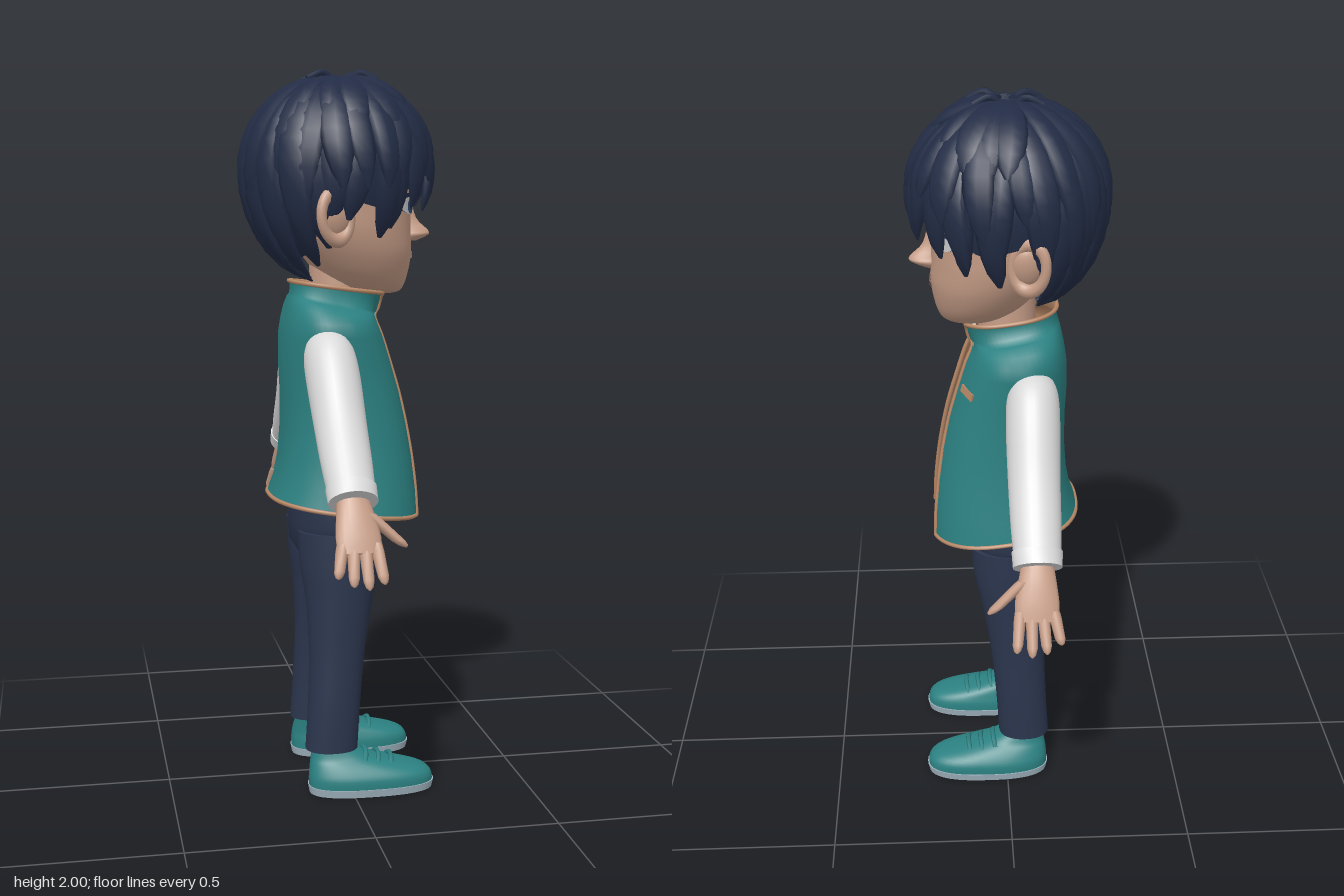
import * as THREE from 'three';

const mat = (name, color) => {
  const m = new THREE.MeshStandardMaterial({ color, side: THREE.DoubleSide });
  m.name = name;
  return m;
};
const V = (x, y, z) => new THREE.Vector3(x, y, z);
const { lerp, degToRad: rad } = THREE.MathUtils;

// Skin over a list of point rings, always wound outward (or inward for linings)
function loft(rings, { closed = true, caps = closed, inside = false } = {}) {
  const n = rings[0].length, pts = rings.flat().map(p => p.clone()), idx = [];
  for (let i = 0; i < rings.length - 1; i++)
    for (let j = 0; j < (closed ? n : n - 1); j++) {
      const a = i * n + j, b = i * n + (j + 1) % n;
      idx.push(a, b, a + n, b, b + n, a + n);
    }
  if (caps) [0, rings.length - 1].forEach(r => {
    const base = pts.length, c = V(0, 0, 0);
    rings[r].forEach(p => { pts.push(p.clone()); c.addScaledVector(p, 1 / n); });
    pts.push(c);
    for (let j = 0; j < n; j++) {
      const a = base + j, b = base + (j + 1) % n;
      r ? idx.push(a, b, base + n) : idx.push(b, a, base + n);
    }
  });
  const mid = V(0, 0, 0);
  pts.forEach(p => mid.addScaledVector(p, 1 / pts.length));
  let vol = 0;
  for (let i = 0; i < idx.length; i += 3) {
    const [a, b, c] = [0, 1, 2].map(k => pts[idx[i + k]].clone().sub(mid));
    vol += a.dot(b.cross(c));
  }
  if ((vol < 0) !== inside) idx.reverse();
  const g = new THREE.BufferGeometry().setFromPoints(pts);
  g.setIndex(idx);
  g.computeVertexNormals();
  return g;
}

// Smooth rows of numbers with a spline
function dense(rows, k = 4) {
  const out = [], at = i => rows[Math.max(0, Math.min(rows.length - 1, i))];
  for (let i = 0; i < rows.length - 1; i++)
    for (let s = 0; s < k; s++) {
      const t = s / k;
      out.push(rows[i].map((b, c) => {
        const a = at(i - 1)[c], d = at(i + 1)[c], e = at(i + 2)[c];
        return b + 0.5 * t * (d - a + t * (2 * a - 5 * b + 4 * d - e + t * (3 * (b - d) + e - a)));
      }));
    }
  return [...out, at(rows.length - 1)];
}

// Level superellipse ring from a row [y, halfWidth, zFront, zBack, centreX]; gap opens the front
function ring([y, hw, zf, zb, cx = 0], { p = 2, n = 40, gap = 0, tilt = 0, s = 1 } = {}) {
  const a0 = gap ? Math.asin(Math.pow(gap / hw, p / 2)) : 0, pw = v => Math.sign(v) * Math.abs(v) ** (2 / p);
  return Array.from({ length: n }, (_, i) => {
    const a = gap ? lerp(a0, 2 * Math.PI - a0, i / (n - 1)) : i / n * 2 * Math.PI;
    const z = (zf + zb) / 2 + (zf - zb) / 2 * pw(Math.cos(a));
    return V(s * (cx + hw * pw(Math.sin(a))), y - tilt * z, z);
  });
}
const stack = (rows, o) => loft(rows.map(r => ring(r, o)));

// Limb through points [x, y, z, thickness, halfWidthZ]
function limb(pts, s = 1, n = 18) {
  return loft(pts.map((q, i) => {
    const a = pts[Math.max(0, i - 1)], b = pts[Math.min(pts.length - 1, i + 1)];
    const d = V(b[0] - a[0], b[1] - a[1], 0).normalize();
    return Array.from({ length: n }, (_, j) => {
      const t = j / n * 2 * Math.PI, c = Math.cos(t) * q[3];
      return V(s * (q[0] - d.y * c), q[1] + d.x * c, q[2] + Math.sin(t) * q[4]);
    });
  }));
}

export function createModel() {
  const model = new THREE.Group(), body = new THREE.Group();
  body.name = 'figure';
  body.rotation.y = Math.PI / 2; // figure faces +x
  model.add(body);
  const M = {
    hair: mat('dark navy hair', 0x222c45), pants: mat('navy cloth', 0x2b354d), teal: mat('teal cloth', 0x2c8182),
    trim: mat('tan trim', 0xb98866), shirt: mat('light grey cloth', 0xdadada), skin: mat('skin', 0xc69d87),
    lip: mat('lip', 0xb07c6b), white: mat('eye white', 0xd0d0d2), iris: mat('blue iris', 0x34507a), sole: mat('pale sole', 0x9fb2bd),
  };
  const add = (name, geo, m) => {
    const mesh = new THREE.Mesh(geo, m);
    mesh.name = name;
    body.add(mesh);
    return mesh;
  };
  const ball = (name, m, x, y, z, sx, sy, sz) => {
    const b = add(name, new THREE.SphereGeometry(1, 24, 16), m);
    b.position.set(x, y, z);
    b.scale.set(sx, sy, sz);
    return b;
  };
  const tube = (name, pts, r, m) => add(name, new THREE.TubeGeometry(new THREE.CatmullRomCurve3(pts), pts.length * 3, r, 6), m);

  // Head and neck
  const headRows = dense([[1.392, .045, .15, .05], [1.402, .085, .172, 0], [1.44, .13, .187, -.06], [1.5, .167, .197, -.11],
    [1.56, .187, .195, -.15], [1.62, .195, .195, -.18], [1.7, .2, .2, -.2], [1.8, .185, .185, -.19], [1.88, .12, .12, -.13]]);
  add('head', stack(headRows, { n: 64 }), M.skin);
  add('neck', stack([[1.3, .085, .07, -.09], [1.42, .078, .07, -.085], [1.5, .08, .07, -.09]]), M.skin);
  add('nose', stack(dense([[1.66, .012, .199, .15], [1.6, .015, .216, .15], [1.566, .025, .25, .15], [1.552, .03, .25, .15],
    [1.536, .02, .215, .15]])), M.skin);

  // Thin patches laid on the face
  const faceZ = (x, y) => {
    const i = Math.max(1, headRows.findIndex(r => r[0] >= y)), a = headRows[i - 1], b = headRows[i];
    const [, hw, zf, zb] = a.map((v, c) => lerp(v, b[c], (y - a[0]) / (b[0] - a[0])));
    return (zf + zb) / 2 + (zf - zb) / 2 * Math.sqrt(Math.max(0, 1 - (x / hw) ** 2));
  };
  const patch = (name, m, cx, cy, rx, ry, off, rot = 0) => {
    const g = new THREE.RingGeometry(0.001, 1, 28, 5).scale(rx, ry, 1).rotateZ(rot).translate(cx, cy, 0), p = g.attributes.position;
    for (let i = 0; i < p.count; i++) p.setZ(i, faceZ(p.getX(i), p.getY(i)) + off);
    g.computeVertexNormals();
    add(name, g, m);
  };
  patch('upperLip', M.lip, 0, 1.503, .055, .005, .003);
  patch('lowerLip', M.lip, 0, 1.493, .035, .006, .004);
  for (const s of [-1, 1]) {
    patch('lashes', M.hair, s * .097, 1.639, .058, .028, .002, s * .08);
    patch('eyeWhite', M.white, s * .096, 1.633, .052, .023, .004, s * .08);
    patch('iris', M.iris, s * .092, 1.635, .025, .024, .006);
    patch('pupil', M.hair, s * .092, 1.635, .012, .013, .007);
    patch('eyeGlint', M.white, s * .092 + .008, 1.643, .005, .005, .008);
    patch('eyebrow', M.hair, s * .098, 1.69, .058, .009, .004, s * .2);
    // Ears
    ball('ear', M.skin, s * .205, 1.6, -.05, .03, .062, .042).rotation.z = -s * .25;
    const rim = add('earRim', new THREE.TorusGeometry(.045, .014, 8, 28), M.skin);
    rim.position.set(s * .228, 1.604, -.055);
    rim.scale.y = 1.4;
    rim.rotation.set(0, s * 1.15, -s * .15);
  }

  // Hair cap with a hairline that drops toward the nape
  const hairPoint = (phi, th, off = 0) => V((.24 + off) * Math.sin(th) * Math.sin(phi),
    1.73 + ((th < Math.PI / 2 ? .243 : .3) + off) * Math.cos(th), (.245 + off) * Math.sin(th) * Math.cos(phi) - .01);
  const line = [[0, 92], [40, 97], [72, 110], [100, 104], [125, 138], [180, 152]];
  const hairline = phi => {
    const d = Math.abs(Math.atan2(Math.sin(phi), Math.cos(phi))) * 180 / Math.PI;
    const i = Math.max(1, line.findIndex(k => k[0] >= d - 1e-6)), [a, b] = [line[i - 1], line[i]];
    return rad(lerp(a[1], b[1], (d - a[0]) / (b[0] - a[0])));
  };
  const capRings = Array.from({ length: 22 }, (_, i) => Array.from({ length: 64 }, (_, j) => {
    const phi = j / 64 * 2 * Math.PI;
    return hairPoint(phi, lerp(.02, hairline(phi), i / 21));
  }));
  add('hairCap', loft(capRings, { caps: false }), M.hair);

  // Overlapping tapered locks in tiers
  let seed = 7;
  const rnd = () => (seed = seed * 16807 % 2147483647) / 2147483647;
  const lock = (phi, t0, t1, w, lift, swirl) => add('hairLock', loft(Array.from({ length: 10 }, (_, i) => {
    const t = i / 9, th = lerp(t0, t1, t), f = phi + swirl * t * t;
    const c = hairPoint(f, th, lift * (.3 + .7 * t)), out = c.clone().sub(V(0, 1.73, -.01)).normalize();
    const side = V(Math.cos(f), 0, -Math.sin(f)), k = Math.sqrt(Math.sin(Math.PI * (.08 + .91 * t ** 1.25)));
    return Array.from({ length: 8 }, (_, j) => {
      const a = j / 8 * 2 * Math.PI;
      return c.clone().addScaledVector(side, w * k * Math.cos(a)).addScaledVector(out, .017 * k * Math.sin(a));
    });
  })), M.hair);
  for (const [count, start, drop, w, lift] of [[30, 45, 10, .036, .008], [24, 22, -12, .04, .016], [16, 6, -42, .04, .014]])
    for (let i = 0; i < count; i++) {
      const phi = (i + rnd() * .5) / count * 2 * Math.PI;
      lock(phi, rad(start + rnd() * 8), hairline(phi) + rad(drop + rnd() * 11 - 4), w * (.85 + rnd() * .35), lift + rnd() * .01, (rnd() - .5) * .35);
    }
  for (const [x, z, d] of [[-.03, -.02, -1], [.03, -.02, -1], [.02, 0, 1], [-.04, .01, 1]])
    tube('crownTuft', [V(x, 1.965, z), V(x * 1.2, 1.99, z + d * .035), V(x * 1.5, 1.972, z + d * .08)], .009, M.hair);

  // Shirt
  add('shirt', stack([[.81, .19, .135, -.15], [1, .178, .145, -.148], [1.18, .182, .112, -.15], [1.28, .185, .08, -.145],
    [1.32, .16, .066, -.13], [1.345, .09, .07, -.1]], { p: 2.4 }), M.shirt);
  for (const s of [-1, 1]) {
    const flap = new THREE.Shape([[.004, 1.335], [.055, 1.3], [.075, 1.375], [.05, 1.398]].map(([x, y]) => new THREE.Vector2(s * x, y)));
    add('shirtCollar', new THREE.ExtrudeGeometry(flap, { depth: .008, bevelEnabled: false }), M.shirt).position.z = .078;
  }

  // Open vest: rows [y, halfWidth, zFront, zBack, centre, opening, tilt]
  const vestRows = [[.8, .227, .212, -.205, 0, .108, .13], [.86, .218, .207, -.188, 0, .1, .07], [.94, .206, .195, -.175, 0, .088, 0],
    [1.03, .2, .178, -.168, 0, .073, 0], [1.12, .199, .157, -.168, 0, .062, 0], [1.2, .202, .133, -.172, 0, .057, 0],
    [1.28, .213, .107, -.17, 0, .054, 0], [1.315, .211, .094, -.163, 0, .052, .05], [1.34, .192, .088, -.155, 0, .05, .12],
    [1.355, .15, .09, -.147, 0, .047, .2], [1.363, .12, .098, -.142, 0, .044, .22], [1.4, .117, .112, -.14, 0, .055, .15], [1.408, .12, .12, -.143, 0, .068, .13]];
  const vestRings = grow => vestRows.map(([y, hw, zf, zb, c, gap, tilt]) =>
    ring([y, hw + grow, zf + grow, zb - grow, c], { p: 2.5, n: 56, gap, tilt }));
  const outer = vestRings(0);
  add('vest', loft(outer, { closed: false }), M.teal);
  add('vestLining', loft(vestRings(-.006), { closed: false, inside: true }), M.trim);
  tube('hemTrim', outer[0], .006, M.trim);
  tube('collarTrim', outer[outer.length - 1], .006, M.trim);
  for (const k of [0, 55]) tube('frontTrim', outer.map(r => r[k]), .006, M.trim);
  const tab = add('chestTab', new THREE.BoxGeometry(.065, .02, .006), M.trim);
  tab.position.set(.13, 1.22, .105);
  tab.rotation.set(-.25, .42, 0);

  // Hips
  add('hips', stack([[.65, .1, .07, -.115], [.69, .18, .098, -.142], [.76, .197, .11, -.148], [.86, .19, .115, -.15]], { p: 2.4 }), M.pants);

  for (const s of [-1, 1]) {
    // Legs
    add('trouserLeg', stack(dense([[.12, .14, .022, -.125, .14], [.25, .064, .03, -.117, .137], [.4, .07, .045, -.112, .127],
      [.55, .083, .07, -.12, .115], [.64, .093, .09, -.133, .106], [.74, .098, .1, -.14, .1]].map((r, i) => i ? r : [.12, .061, .022, -.125, .14])),
      { p: 2.2, s }), M.pants);
    add('ankle', stack([[.08, .045, .005, -.1, .14], [.14, .045, .005, -.1, .14]], { s }), M.skin);

    // Shoes
    const shoe = { p: 2.5, s };
    add('sole', stack([[0, .076, .233, -.118, .16], [.022, .08, .238, -.122, .16]], shoe), M.sole);
    add('shoe', stack(dense([[.02, .077, .234, -.119, .16], [.045, .077, .23, -.119, .16], [.065, .07, .2, -.117, .158], [.085, .06, .12, -.114, .153],
      [.1, .052, .06, -.111, .148], [.118, .048, .02, -.108, .144]], 3), shoe), M.teal);
    for (const [z, y] of [[.035, .112], [.072, .101], [.108, .092]])
      tube('lace', [V(s * .105, y - .02, z), V(s * .135, y, z + .006), V(s * .17, y, z + .006), V(s * .2, y - .02, z)], .007, M.teal);

    // Sleeves and cuffs
    add('sleeve', limb(dense([[.15, 1.265, -.07, .04, .05], [.195, 1.235, -.068, .074, .068], [.25, 1.175, -.066, .078, .072],
      [.34, 1.065, -.064, .068, .069], [.43, .975, -.064, .058, .066], [.505, .905, -.064, .049, .06]]), s, 28), M.shirt);
    add('cuff', limb([[.482, .927, -.064, .054, .066], [.512, .897, -.064, .052, .064]], s, 28), M.shirt);

    // Hands
    add('palm', limb(dense([[.495, .91, -.064, .03, .04], [.53, .865, -.062, .026, .05], [.56, .815, -.06, .022, .058],
      [.582, .778, -.06, .015, .054]]), s), M.skin);
    const digit = (name, a, b, r) => add(name, limb([0, .2, .8, .94, 1].map((t, i) => {
      const w = r * [1, 1.05, .9, .6, .15][i];
      return [...a.map((v, k) => lerp(v, b[k], t)), w, w];
    }), s, 10), M.skin);
    [[-.103, -.12, .615, .727], [-.075, -.083, .627, .708], [-.046, -.045, .63, .7], [-.017, -.006, .626, .712]].forEach(([z0, z1, x, y]) =>
      digit('finger', [.568, .8, z0], [x, y, z1], .0155));
    digit('thumb', [.53, .87, -.03], [.556, .787, .062], .019);
  }
  return model;
}
